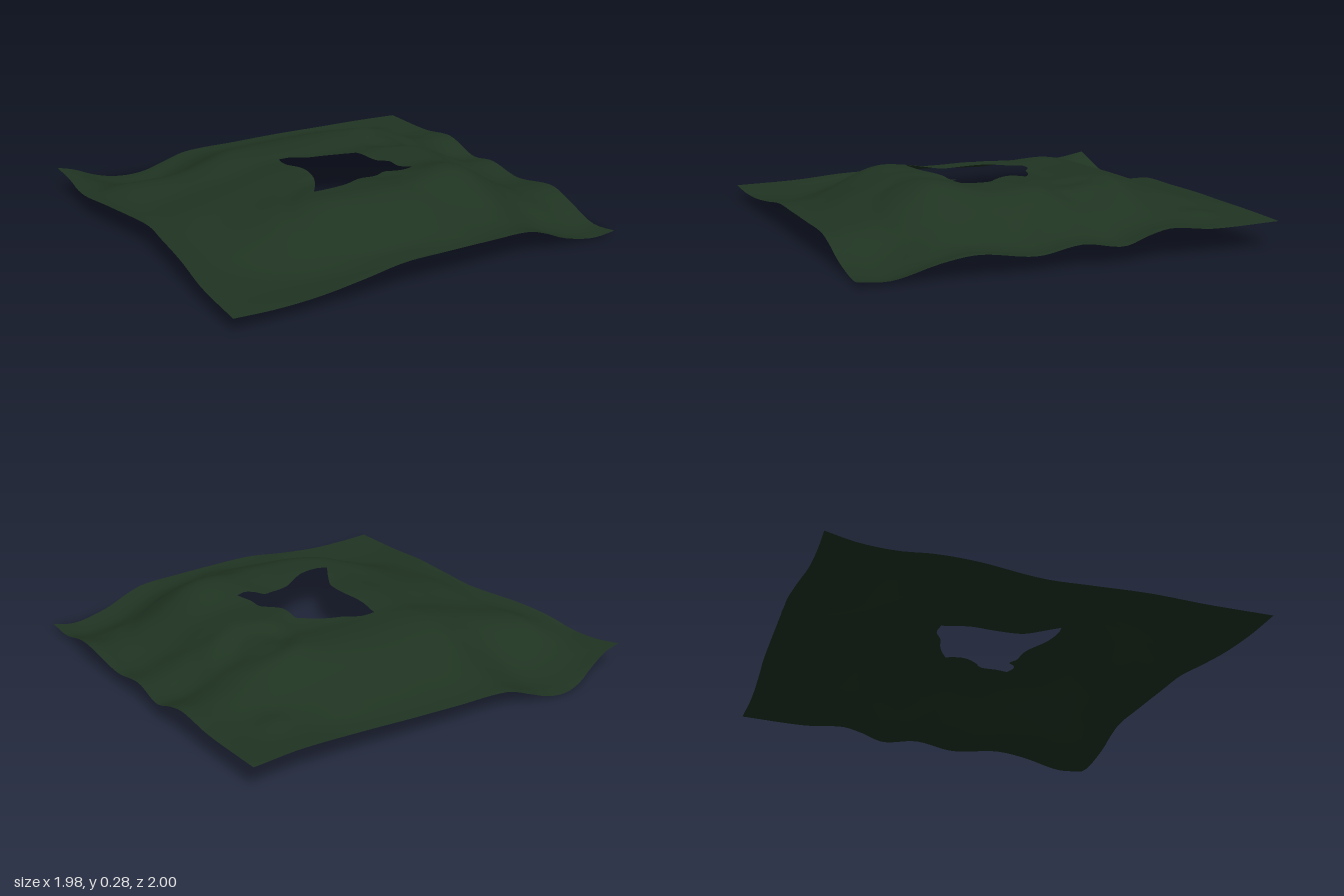
import * as THREE from 'three';

// Edge lines of the sheet: [position along the edge, offset across it, height]
const BACK = [[-0.98, -0.94, 0.12], [-0.9, -0.94, 0.1], [-0.8, -0.955, 0.055], [-0.7, -0.985, 0.02],
  [-0.6, -1, 0.005], [-0.5, -0.995, 0.015], [-0.4, -0.985, 0.05], [-0.28, -0.97, 0.09], [0, -0.96, 0.102],
  [0.25, -0.95, 0.112], [0.45, -0.935, 0.118], [0.75, -0.92, 0.125], [0.975, -0.925, 0.12]];
const FRONT = [[-0.99, 1, 0.065], [-0.8, 0.995, 0.06], [-0.6, 0.985, 0.067], [-0.4, 0.975, 0.09],
  [-0.2, 0.965, 0.118], [0, 0.96, 0.122], [0.25, 0.95, 0.122], [0.45, 0.94, 0.118], [0.55, 0.935, 0.09],
  [0.65, 0.93, 0.05], [0.78, 0.925, 0.02], [0.86, 0.925, 0.015], [0.945, 0.935, 0.03]];
const LEFT = [[-0.94, -0.98, 0.12], [-0.8, -0.97, 0.1], [-0.65, -0.98, 0.085], [-0.5, -0.985, 0.095],
  [-0.3, -0.96, 0.11], [0, -0.91, 0.115], [0.2, -0.925, 0.11], [0.45, -0.95, 0.1], [0.7, -0.975, 0.075],
  [1, -0.99, 0.065]];
const RIGHT = [[-0.925, 0.975, 0.12], [-0.6, 0.98, 0.115], [-0.4, 0.985, 0.135], [-0.3, 0.985, 0.115],
  [-0.18, 0.985, 0.078], [0, 0.975, 0.1], [0.2, 0.975, 0.07], [0.45, 0.98, 0.1], [0.6, 0.96, 0.075],
  [0.75, 0.945, 0.03], [0.82, 0.943, 0.02], [0.935, 0.945, 0.03]];

// Sides of the torn opening, clockwise from the back corner: [x, z]
const HOLE = [
  [[-0.14, -0.21], [-0.07, -0.21], [0, -0.17], [0.07, -0.15], [0.14, -0.12], [0.21, -0.08]],
  [[0.21, -0.08], [0.21, 0.03], [0.23, 0.08], [0.27, 0.12], [0.27, 0.2], [0.3, 0.27]],
  [[0.3, 0.27], [0.25, 0.285], [0.21, 0.27], [0.17, 0.235], [0.12, 0.25], [0.03, 0.26], [-0.1, 0.33], [-0.2, 0.345], [-0.26, 0.335]],
  [[-0.26, 0.335], [-0.2, 0.24], [-0.15, 0.14], [-0.135, 0.03], [-0.155, -0.1], [-0.14, -0.21]],
];

// Soft mounds (ring radius 0) and ring-shaped ripples: [x, z, ring radius, width, height]
const FOLDS = [
  [-0.5, -0.45, 0, 0.25, 0.03], [-0.75, -0.52, 0, 0.22, 0.075], [-0.78, 0.05, 0, 0.25, 0.025],
  [-0.45, 0.45, 0, 0.22, 0.015], [0.4, 0.45, 0, 0.18, 0.025], [0.1, 0.8, 0, 0.15, 0.018],
  [0.5, -0.2, 0.2, 0.05, 0.006], [0.48, -0.2, 0.1, 0.04, -0.006], [0.45, 0.35, 0.35, 0.05, -0.005],
  [-0.12, 0.52, 0.33, 0.05, -0.005], [0.72, -0.68, 0, 0.07, 0.02], [0.45, -0.72, 0, 0.14, 0.012],
  [0.75, 0.6, 0, 0.1, 0.012],
];

// Smooth lookup along an edge line, giving [offset, height]
function edgeAt(edge, p) {
  const last = edge.length - 1;
  if (p <= edge[0][0]) return edge[0].slice(1);
  if (p >= edge[last][0]) return edge[last].slice(1);
  let i = 0;
  while (edge[i + 1][0] < p) i++;
  const a = edge[i], b = edge[i + 1], h = b[0] - a[0], t = (p - a[0]) / h;
  const slope = (j, k) => {
    const l = edge[Math.max(j - 1, 0)], r = edge[Math.min(j + 1, last)];
    return (r[k] - l[k]) / (r[0] - l[0]);
  };
  return [1, 2].map((k) => (2 * t ** 3 - 3 * t * t + 1) * a[k] + (t ** 3 - 2 * t * t + t) * h * slope(i, k)
    + (3 * t * t - 2 * t ** 3) * b[k] + (t ** 3 - t * t) * h * slope(i + 1, k));
}

// Height blended from the four edges, plus a raised middle and the folds
function heightAt(x, z) {
  const [xl, yl] = edgeAt(LEFT, z), [xr, yr] = edgeAt(RIGHT, z);
  const [zb, yb] = edgeAt(BACK, x), [zf, yf] = edgeAt(FRONT, x);
  const u = (x - xl) / (xr - xl), v = (z - zb) / (zf - zb);
  const mix = THREE.MathUtils.lerp;
  const corners = mix(mix(0.12, 0.12, u), mix(0.065, 0.03, u), v);
  let y = mix(yl, yr, u) + mix(yb, yf, v) - corners;
  const d = (Math.abs(x / 0.95) ** 2.5 + Math.abs(z / 0.95) ** 2.5) ** 0.4;
  y += 0.11 * (1 - THREE.MathUtils.smoothstep(d, 0.5, 1));
  const fade = THREE.MathUtils.smoothstep(Math.min(u, 1 - u, v, 1 - v), 0, 0.1);
  for (const [fx, fz, radius, width, h] of FOLDS) {
    y += fade * h * Math.exp(-(((Math.hypot(x - fx, z - fz) - radius) / width) ** 2));
  }
  return Math.max(y, 0);
}

// Matching loops of points, side by side, for the opening and the outline
function buildLoops(n) {
  const inner = [], outer = [];
  const sides = [[BACK, false, true], [RIGHT, false, false], [FRONT, true, true], [LEFT, true, false]];
  sides.forEach(([edge, reversed, alongX], s) => {
    const curve = new THREE.CatmullRomCurve3(HOLE[s].map(([x, z]) => new THREE.Vector3(x, 0, z)));
    for (let i = 0; i < n; i++) {
      const q = curve.getPointAt(i / n);
      inner.push([q.x, q.z]);
      const t = reversed ? 1 - i / n : i / n;
      const p = THREE.MathUtils.lerp(edge[0][0], edge[edge.length - 1][0], t);
      const off = edgeAt(edge, p)[0];
      outer.push(alongX ? [p, off] : [off, p]);
    }
  });
  return { inner, outer };
}

export function createModel() {
  const group = new THREE.Group();
  group.name = 'drapedSheet';
  const darkGreen = new THREE.MeshStandardMaterial({ color: 0x203422, side: THREE.DoubleSide });
  darkGreen.name = 'dark green cloth';

  // Cloth: rings running from the opening out to the outline
  const rings = 48, { inner, outer } = buildLoops(56), count = inner.length;
  const positions = [], indices = [];
  for (let r = 0; r <= rings; r++) {
    for (let s = 0; s < count; s++) {
      const x = THREE.MathUtils.lerp(inner[s][0], outer[s][0], r / rings);
      const z = THREE.MathUtils.lerp(inner[s][1], outer[s][1], r / rings);
      positions.push(x, heightAt(x, z), z);
      if (r === rings) continue;
      const a = r * count + s, b = r * count + (s + 1) % count;
      indices.push(a, b, a + count, b, b + count, a + count);
    }
  }
  const geometry = new THREE.BufferGeometry();
  geometry.setAttribute('position', new THREE.Float32BufferAttribute(positions, 3));
  geometry.setIndex(indices);
  geometry.computeVertexNormals();

  const cloth = new THREE.Mesh(geometry, darkGreen);
  cloth.name = 'cloth';
  group.add(cloth);
  return group;
}
